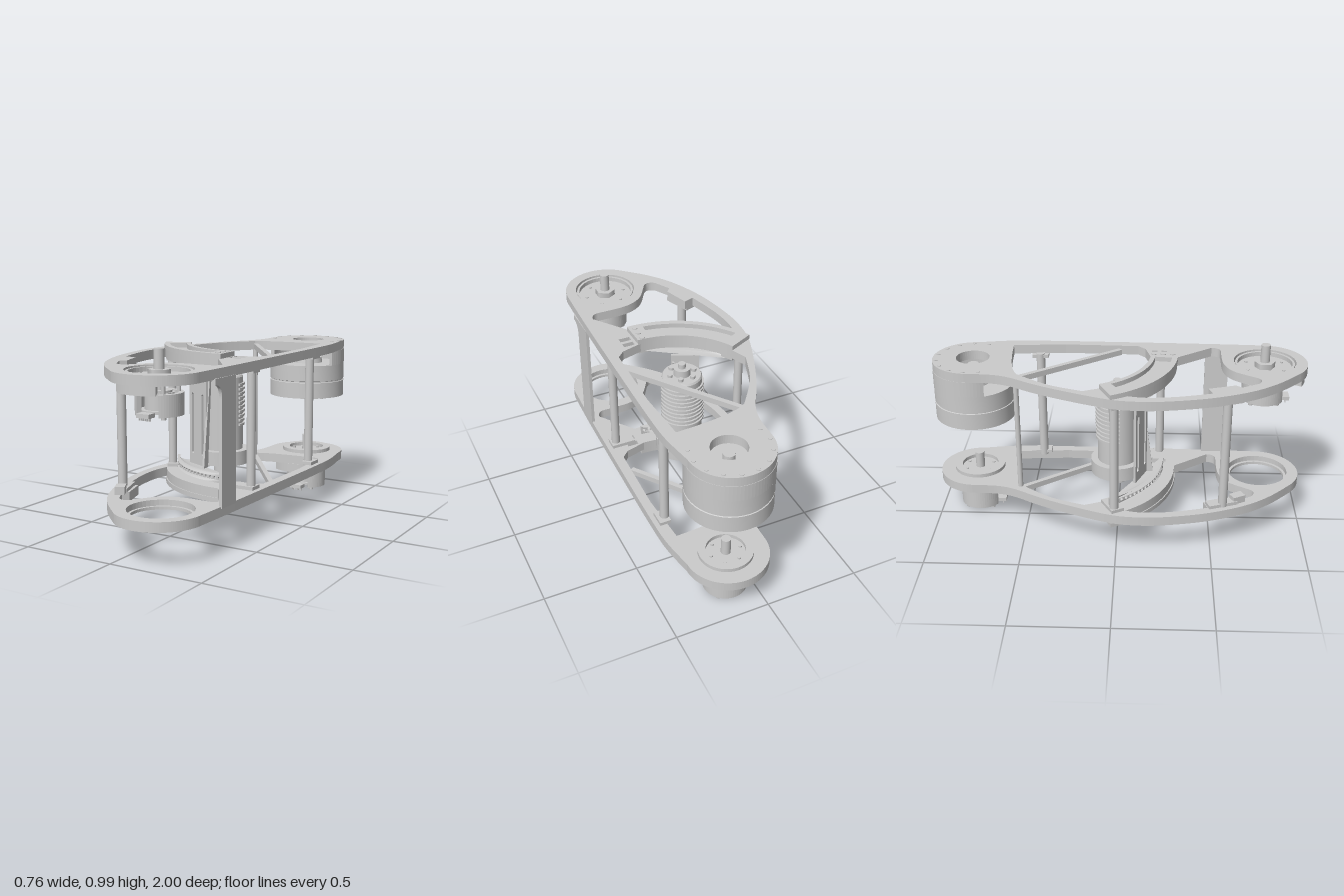
import * as THREE from 'three';
import { toCreasedNormals } from 'three/addons/utils/BufferGeometryUtils.js';

const mat = new THREE.MeshStandardMaterial({ color: 0xcccccc, side: THREE.DoubleSide });
const PI = Math.PI;
const ARC = [0.17, -0.28]; // centre of the curved rails (x, z)
const FRONT = [0.135, 0.775], BACK = [0.135, -0.785];

function add(parent, name, geo, x = 0, y = 0, z = 0) {
  const m = new THREE.Mesh(geo, mat);
  m.name = name;
  m.position.set(x, y, z);
  parent.add(m);
  return m;
}
const cyl = (p, name, r, y0, y1, x, z, seg = 32) =>
  add(p, name, new THREE.CylinderGeometry(r, r, y1 - y0, seg), x, (y0 + y1) / 2, z);
const box = (p, name, w, y0, y1, d, x, z, turn = 0) => {
  const m = add(p, name, new THREE.BoxGeometry(w, y1 - y0, d), x, (y0 + y1) / 2, z);
  m.rotation.y = turn;
  return m;
};
const lathe = (p, name, pts, x, z) => add(p, name, toCreasedNormals(
  new THREE.LatheGeometry(pts.map(a => new THREE.Vector2(...a)), 40), 0.5), x, 0, z);
const vecs = pts => pts.map(a => new THREE.Vector2(...a));

// Flat part drawn in (x, z) and extruded between two heights
function slab(p, name, shape, y0, y1, x = 0, z = 0) {
  const g = new THREE.ExtrudeGeometry(shape, { depth: y1 - y0, bevelEnabled: false, curveSegments: 24 });
  g.rotateX(PI / 2);
  return add(p, name, g, x, y1, z);
}
function band(cx, cz, r0, r1, a0, a1) {
  const s = new THREE.Shape();
  s.absarc(cx, cz, r1, a0, a1, false);
  s.absarc(cx, cz, r0, a1, a0, true);
  return s;
}
function circleHole(shape, [x, z], r) {
  shape.holes.push(new THREE.Path().absarc(x, z, r, 0, 2 * PI, true));
}
function ring(r0, r1) {
  const s = new THREE.Shape().absarc(0, 0, r1, 0, 2 * PI, false);
  circleHole(s, [0, 0], r0);
  return s;
}

// Teardrop frame outline with its two large windows
function plateShape() {
  const s = new THREE.Shape();
  s.absarc(0.13, 0.775, 0.225, 0, 2.27, false);
  s.splineThru(vecs([[-0.15, 0.815], [-0.25, 0.67], [-0.33, 0.47], [-0.375, 0.25], [-0.382, 0.1],
    [-0.36, -0.04], [-0.28, -0.25], [-0.2, -0.42], [-0.12, -0.56], [-0.09, -0.66], [-0.085, -0.785]]));
  s.absarc(0.13, -0.785, 0.215, PI, 2 * PI, false);
  s.splineThru(vecs([[0.375, -0.6], [0.38, -0.4], [0.375, 0], [0.365, 0.5], [0.355, 0.775]]));
  const rear = new THREE.Path();
  rear.moveTo(-0.08, -0.52);
  rear.quadraticCurveTo(-0.01, -0.575, 0.31, -0.585);
  rear.lineTo(0.33, -0.3);
  rear.lineTo(0.32, 0.1);
  rear.lineTo(0.28, 0.14);
  rear.absarc(...ARC, 0.45, PI / 2, 2.67, false);
  rear.lineTo(-0.27, -0.17);
  rear.splineThru(vecs([[-0.2, -0.35], [-0.08, -0.52]]));
  const fore = new THREE.Path();
  fore.moveTo(0.29, 0.3);
  fore.absarc(...ARC, 0.59, PI / 2, 2.55, false);
  fore.splineThru(vecs([[-0.335, 0.15], [-0.32, 0.3], [-0.275, 0.48]]));
  for (const q of [[-0.22, 0.46], [-0.175, 0.6], [-0.2, 0.63], [-0.15, 0.72]]) fore.lineTo(...q);
  fore.quadraticCurveTo(-0.1, 0.76, -0.07, 0.7);
  fore.splineThru(vecs([[0, 0.6], [0.1, 0.553], [0.26, 0.548]]));
  fore.quadraticCurveTo(0.305, 0.55, 0.31, 0.5);
  const slots = [0.175, 0.225].map(z => new THREE.Path(
    vecs([[0.2, z], [0.2, z + 0.03], [0.26, z + 0.03], [0.26, z]])));
  s.holes.push(rear, fore, ...slots);
  circleHole(s, FRONT, 0.165);
  return s;
}

// Perforated strip bent around the rail centre
function railGeometry() {
  const R = 0.515, a1 = 2.66, L = R * (a1 - 1.6), n = 19, h = 0.05;
  const s = new THREE.Shape();
  for (let i = 0; i <= n; i++) s.lineTo(L * i / n, 0);
  for (let i = n; i >= 0; i--) s.lineTo(L * i / n, h);
  for (let i = 0; i < n; i++) circleHole(s, [L * (i + 0.5) / n, h / 2], 0.009);
  s.curves.shift();
  const g = new THREE.ExtrudeGeometry(s, { depth: 0.014, bevelEnabled: false, curveSegments: 4 });
  const p = g.attributes.position;
  for (let i = 0; i < p.count; i++) {
    const a = a1 - p.getX(i) / R, r = R + p.getZ(i);
    p.setXYZ(i, ARC[0] + r * Math.cos(a), p.getY(i), ARC[1] + r * Math.sin(a));
  }
  g.computeVertexNormals();
  return g;
}

// Joint encoder and shaft, heights given for the lower one
function jointDrive(parent, name, [x, z], y) {
  const g = new THREE.Group();
  g.name = name;
  g.position.set(x, y, z);
  parent.add(g);
  cyl(g, 'shaft', 0.025, 0.1, 0.32, 0, 0, 20);
  cyl(g, 'collar', 0.055, 0.18, 0.225, 0, 0, 6);
  slab(g, 'housing', band(0, 0, 0.09, 0.115, PI * 0.5 + 0.55, PI * 2.5 - 0.55), 0.015, 0.12);
  cyl(g, 'core', 0.07, 0.03, 0.12, 0, 0);
  cyl(g, 'floor', 0.092, 0.025, 0.04, 0, 0);
  cyl(g, 'cap', 0.06, 0.12, 0.13, 0, 0);
  slab(g, 'bracket', band(0, 0, 0.12, 0.215, PI / 3, PI * 2 / 3), 0.13, 0.18);
  box(g, 'connector', 0.07, 0.015, 0.035, 0.05, 0, 0.115);
  for (let i = 0; i < 9; i++) box(g, 'pin', 0.004, 0, 0.015, 0.004, -0.03 + i * 0.0075, 0.12);
  for (const sx of [-1, 1]) for (const sz of [-1, 1]) {
    cyl(g, 'standoff', 0.01, 0.1, 0.19, sx * 0.065, sz * 0.065, 8);
    cyl(g, 'bolt', 0.012, 0.003, 0.02, sx * 0.07, sz * 0.07, 8);
  }
}

export function createModel() {
  const root = new THREE.Group();
  root.name = 'linkFrame';

  // Upper and lower frames
  const upper = plateShape(), lower = plateShape();
  circleHole(upper, BACK, 0.09);
  slab(root, 'upperFrame', upper, 0.845, 0.895);
  slab(root, 'lowerFrame', lower, 0.18, 0.23);
  for (const [y0, y1] of [[0.85, 0.88], [0.19, 0.22]])
    box(root, 'diagonalBrace', 0.65, y0, y1, 0.026, 0.12, -0.26, -Math.atan2(0.52, 0.38));

  // Curved covers with a pocket, and perforated rails
  for (const [y0, y1, rail] of [[0.895, 0.92, 0.79], [0.155, 0.18, 0.24]]) {
    const cover = band(...ARC, 0.45, 0.595, PI / 2 - 0.03, 2.7);
    cover.holes.push(new THREE.Path(band(...ARC, 0.475, 0.565, 1.68, 2.58).getPoints(24)));
    slab(root, 'curvedCover', cover, y0, y1);
    for (const z of [0.185, 0.235, 0.285]) cyl(root, 'coverBolt', 0.015, y0 - 0.002, y1 + 0.004, 0.155, z, 12);
    add(root, 'perforatedRail', railGeometry(), 0, rail, 0);
  }

  // Posts with mounting feet
  for (const [x, z, r] of [[-0.317, -0.01, 0.023], [-0.245, 0.56, 0.024], [0.315, 0.227, 0.023],
    [0.313, -0.44, 0.024], [-0.08, -0.53, 0.014]])
    cyl(root, 'post', r, 0.22, 0.85, x, z, 20);
  for (const [y0, y1] of [[0.23, 0.248], [0.827, 0.845]]) {
    box(root, 'postFoot', 0.13, y0, y1, 0.07, -0.28, -0.02, 0.5);
    box(root, 'postFoot', 0.13, y0, y1, 0.07, 0.28, 0.227);
    box(root, 'postFoot', 0.06, y0, y1, 0.09, 0.325, -0.44);
    box(root, 'postFoot', 0.06, y0, y1, 0.16, -0.235, 0.555, 0.35);
  }
  box(root, 'tabBlock', 0.05, 0.23, 0.27, 0.07, -0.2, 0.64, 0.5);

  // Flared side web
  const web = new THREE.Shape();
  web.moveTo(-0.6, 0.22);
  web.lineTo(-0.47, 0.22);
  web.lineTo(-0.47, 0.85);
  web.lineTo(-0.66, 0.85);
  web.lineTo(-0.66, 0.82);
  web.quadraticCurveTo(-0.6, 0.82, -0.6, 0.75);
  const wm = add(root, 'sideWeb', new THREE.ExtrudeGeometry(web, { depth: 0.017, bevelEnabled: false }), 0.35);
  wm.rotation.y = PI / 2;

  // Slotted panel with triangular gusset
  const panel = new THREE.Shape(vecs([[-0.075, 0.29], [0.075, 0.29], [0.075, 0.79], [-0.075, 0.79]]));
  for (const x of [-0.045, 0.045]) {
    const slot = new THREE.Path();
    slot.absarc(x, 0.665, 0.01, 0, PI, false);
    slot.absarc(x, 0.355, 0.01, PI, 2 * PI, false);
    panel.holes.push(slot);
  }
  const pm = add(root, 'slottedPanel', new THREE.ExtrudeGeometry(panel, { depth: 0.014, bevelEnabled: false }), -0.06, 0, 0.115);
  pm.rotation.y = -0.4;
  const tri = new THREE.Shape(vecs([[-0.19, 0.29], [-0.15, 0.29], [-0.115, 0.76], [-0.13, 0.76]]));
  const tm = add(root, 'gusset', new THREE.ExtrudeGeometry(tri, { depth: 0.012, bevelEnabled: false }), 0.0);
  tm.rotation.y = PI / 2;

  // Central actuator
  const [ax, az] = [0.013, -0.005];
  lathe(root, 'actuatorBody', [[0, 0.295], [0.143, 0.295], [0.143, 0.37], [0.106, 0.37], [0.106, 0.76],
    [0.1, 0.77], [0, 0.77]], ax, az);
  cyl(root, 'outputShaft', 0.05, 0.23, 0.295, ax, az);
  cyl(root, 'topBoss', 0.045, 0.77, 0.81, ax, az);
  cyl(root, 'topPin', 0.02, 0.81, 0.835, ax, az, 16);
  for (let i = 0; i < 6; i++)
    cyl(root, 'actuatorBolt', 0.014, 0.77, 0.785, ax + 0.068 * Math.cos(i * PI / 3), az + 0.068 * Math.sin(i * PI / 3), 10);
  for (let i = 0; i < 10; i++)
    slab(root, 'coolingFin', band(0, 0, 0.1, 0.116, PI * 0.95, PI * 2.05), 0.5 + i * 0.024, 0.512 + i * 0.024, ax, az);

  // Rear motor hung below the upper frame
  lathe(root, 'rearMotor', [[0, 0.595], [0.03, 0.595], [0.03, 0.585], [0.1, 0.585], [0.105, 0.61], [0.14, 0.61],
    [0.155, 0.57], [0.217, 0.57], [0.217, 0.66], [0.212, 0.662], [0.212, 0.668], [0.217, 0.67],
    [0.217, 0.76], [0.09, 0.76], [0.085, 0.79], [0.06, 0.79], [0.06, 0.82], [0, 0.82]], 0.13, BACK[1]);
  cyl(root, 'motorShaft', 0.03, 0.82, 0.86, ...BACK, 16);
  slab(root, 'motorSkirt', band(0, 0, 0.195, 0.217, PI - 0.4, 2 * PI + 0.4), 0.76, 0.845, 0.13, BACK[1]);
  for (let i = 0; i < 10; i++) {
    const a = PI * (0.9 + i * 1.2 / 9);
    cyl(root, 'frameBolt', 0.011, 0.89, 0.898, 0.13 + 0.195 * Math.cos(a), BACK[1] + 0.195 * Math.sin(a), 10);
    const b = i * PI / 5;
    cyl(root, 'motorBolt', 0.01, 0.564, 0.575, 0.13 + 0.186 * Math.cos(b), BACK[1] + 0.186 * Math.sin(b), 8);
  }

  // Joint drives and their bearings
  jointDrive(root, 'frontJointDrive', FRONT, 0.67);
  jointDrive(root, 'rearJointDrive', BACK, 0);
  slab(root, 'frontBearing', ring(0.145, 0.158), 0.845, 0.888, ...FRONT);
  cyl(root, 'frontBearingPlate', 0.165, 0.845, 0.865, ...FRONT, 40);
  slab(root, 'rearBearing', ring(0.1, 0.14), 0.23, 0.25, ...BACK);
  slab(root, 'lowerFrontLip', ring(0.15, 0.166), 0.185, 0.2, ...FRONT);
  for (let i = 0; i < 6; i++) {
    const c = Math.cos(i * PI / 3), s = Math.sin(i * PI / 3);
    cyl(root, 'bearingBolt', 0.009, 0.86, 0.872, FRONT[0] + 0.11 * c, FRONT[1] + 0.11 * s, 8);
    cyl(root, 'bearingBolt', 0.009, 0.23, 0.238, BACK[0] + 0.08 * c, BACK[1] + 0.08 * s, 8);
  }
  return root;
}
